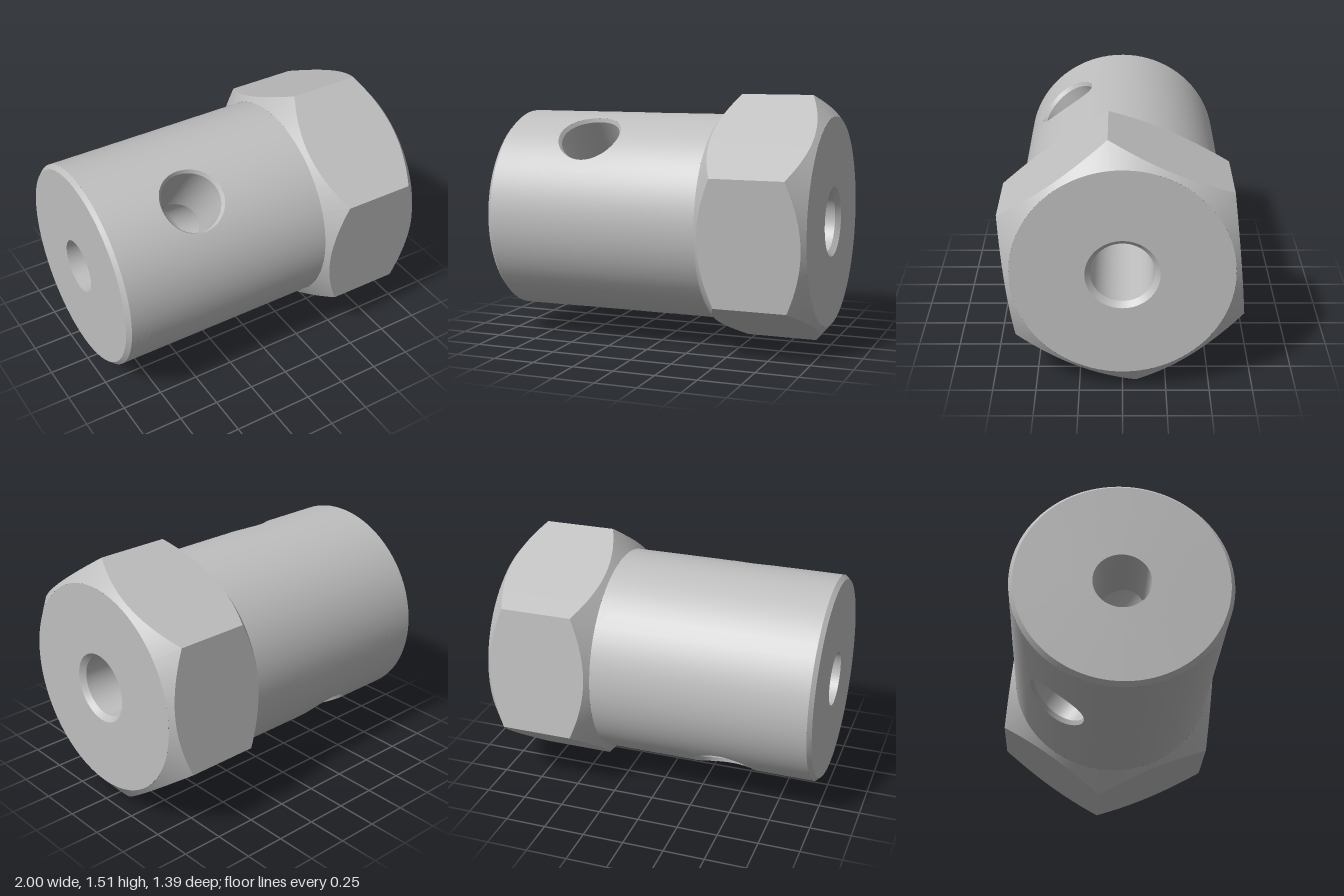
import * as THREE from 'three';

const steel = new THREE.MeshStandardMaterial({ color: 0xbfbfbf });
steel.name = 'steel';

const TAU = Math.PI * 2;
const BODY_R = 0.628, BORE_R = 0.165, TAP_R = 0.18;   // radii about the x axis
const HOLE_X = -0.425, HOLE_R = 0.18, SINK_R = 0.195; // cross hole
const BODY_X0 = -0.975, HEX_X0 = 0.34, FLAT = 0.658, SLOPE = 0.85;

// Point on a circle about the x axis; angle 0 is along the cross hole
const polar = (x, r, a) => [x, r * Math.cos(a), r * Math.sin(a)];
const lerp = THREE.MathUtils.lerp;

// Surface f(u, v) on a regular grid, facing du x dv
function grid(nu, nv, f, radial = false) {
  const pos = [], idx = [];
  for (let i = 0; i <= nu; i++)
    for (let j = 0; j <= nv; j++) pos.push(...f(i / nu, j / nv));
  for (let i = 0; i < nu; i++)
    for (let j = 0; j < nv; j++) {
      const a = i * (nv + 1) + j, b = a + nv + 1;
      idx.push(a, b, b + 1, a, b + 1, a + 1);
    }
  const g = new THREE.BufferGeometry();
  g.setAttribute('position', new THREE.Float32BufferAttribute(pos, 3));
  g.setIndex(idx);
  g.computeVertexNormals();
  if (radial) {
    const p = g.attributes.position, n = g.attributes.normal;
    for (let i = 0; i < p.count; i++) {
      const r = Math.hypot(p.getY(i), p.getZ(i));
      n.setXYZ(i, 0, p.getY(i) / r, p.getZ(i) / r);
    }
  }
  return g;
}

function add(parent, name, geometry) {
  const m = new THREE.Mesh(geometry, steel);
  m.name = name;
  parent.add(m);
}

// Turned band between two profile points
const band = ([x0, r0], [x1, r1]) =>
  grid(96, 1, (u, v) => polar(lerp(x0, x1, v), lerp(r0, r1, v), u * TAU));

// Half of the body wall, stretched from the hole rim to a rectangle
function wallHalf() {
  return grid(10, 192, (u, v) => {
    const c = Math.cos(v * TAU), s = Math.sin(v * TAU);
    const d = 1 / Math.max(Math.abs(c), Math.abs(s));
    const edgeX = s > 0 ? HEX_X0 - HOLE_X : HOLE_X - BODY_X0;
    const a = lerp(Math.asin(SINK_R * c / BODY_R), c * d * Math.PI / 2, u);
    const x = HOLE_X + lerp(SINK_R * s, s * d * edgeX, u);
    return polar(x, BODY_R, a);
  }, true);
}

// Cross hole: countersunk rim and wall down to the bore
const surfaceY = (z) => Math.sqrt(BODY_R ** 2 - z * z);
const boreY = (z) => Math.sqrt(Math.max(0, BORE_R ** 2 - z * z));
const ring = (r, a, height) => {
  const z = r * Math.cos(a);
  return [HOLE_X + r * Math.sin(a), height(z), z];
};
const between = (p, q, t) => p.map((n, i) => lerp(n, q[i], t));
const rimY = (z) => surfaceY(z) - 0.025;

const countersink = () => grid(96, 1, (u, v) =>
  between(ring(SINK_R, u * TAU, surfaceY), ring(HOLE_R, u * TAU, rimY), v));
const holeWall = () => grid(96, 4, (u, v) =>
  between(ring(HOLE_R, u * TAU, rimY), ring(HOLE_R, u * TAU, boreY), v));

// Bore piece ending where the wider cross hole cuts it
const cut = (a) => Math.sqrt(HOLE_R ** 2 - (BORE_R * Math.sin(a)) ** 2);
const bore = (x0, x1) => grid(4, 96, (u, v) => {
  const a = v * TAU;
  return polar(lerp(x0(a), x1(a), u), BORE_R, a);
});

// One side of the hexagon: flat plus its share of both chamfer cones
function hexSide(parent, k) {
  const at = (u) => {
    const t = (u - 0.5) * Math.PI / 3, r = FLAT / Math.cos(t);
    return { a: t + k * Math.PI / 3, r, inset: (r - BODY_R) * SLOPE };
  };
  add(parent, 'hexFlat', grid(24, 1, (u, v) => {
    const { a, r, inset } = at(u);
    return polar(lerp(HEX_X0 + inset, 1 - inset, v), r, a);
  }));
  add(parent, 'hexInnerChamfer', grid(24, 1, (u, v) => {
    const { a, r, inset } = at(u);
    return polar(HEX_X0 + inset * v, lerp(BODY_R, r, v), a);
  }));
  add(parent, 'hexOuterChamfer', grid(24, 1, (u, v) => {
    const { a, r, inset } = at(u);
    return polar(1 - inset * (1 - v), lerp(r, BODY_R, v), a);
  }));
}

export function createModel() {
  const model = new THREE.Group();
  model.name = 'hexCoupling';
  const part = new THREE.Group();
  part.name = 'coupling';
  part.position.y = 0.755;
  part.rotation.x = THREE.MathUtils.degToRad(36);
  model.add(part);

  // Body end
  add(part, 'bodyEndFace', band([-1, BORE_R], [-1, 0.605]));
  add(part, 'bodyChamfer', band([-1, 0.605], [BODY_X0, BODY_R]));

  // Two mirrored halves of the body, each with a cross hole
  for (let i = 0; i < 2; i++) {
    const half = new THREE.Group();
    half.name = 'bodyHalf';
    half.rotation.x = i * Math.PI;
    add(half, 'bodyWall', wallHalf());
    add(half, 'holeCountersink', countersink());
    add(half, 'crossHole', holeWall());
    part.add(half);
  }

  // Hexagonal head
  for (let k = 0; k < 6; k++) hexSide(part, k);
  add(part, 'hexEndFace', band([1, BODY_R], [1, 0.21]));

  // Axial bore, wider behind the hexagonal head
  add(part, 'tappedChamfer', band([1, 0.21], [0.97, TAP_R]));
  add(part, 'tappedBore', band([0.97, TAP_R], [0.01, TAP_R]));
  add(part, 'boreStep', band([0.01, TAP_R], [0, BORE_R]));
  add(part, 'innerBore', bore((a) => HOLE_X + cut(a), () => 0));
  add(part, 'shaftBore', bore(() => -1, (a) => HOLE_X - cut(a)));

  return model;
}
